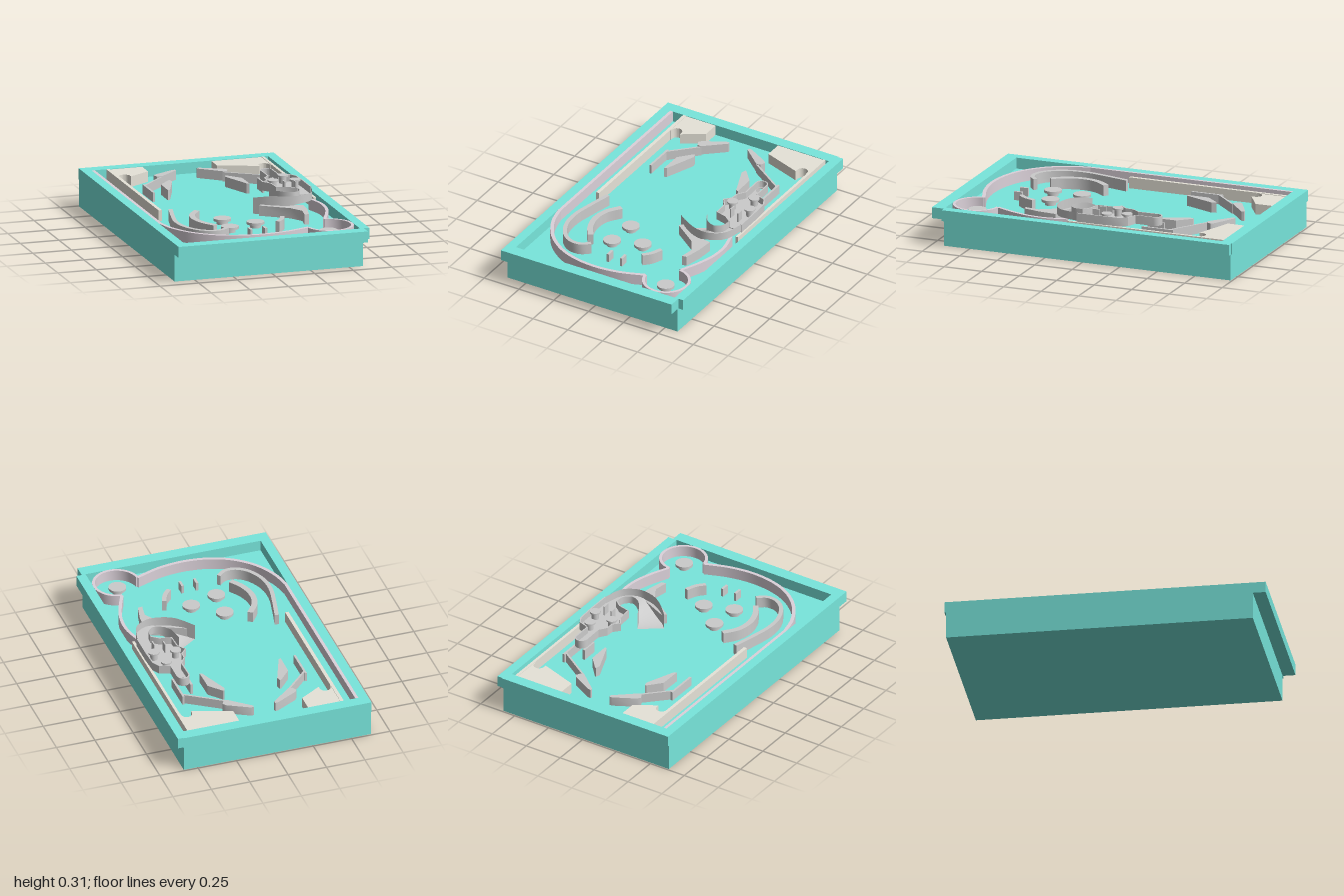
import * as THREE from 'three';
import { toCreasedNormals } from 'three/addons/utils/BufferGeometryUtils.js';

const FLOOR = 0.17, TOP = 0.24;
const mat = (color) => new THREE.MeshStandardMaterial({ color, side: THREE.DoubleSide });

export function createModel() {
  const root = new THREE.Group();
  const teal = mat(0x78e6dc), grey = mat(0xcccccc), lilac = mat(0xdcd2da), cream = mat(0xe6e3d8);

  const add = (name, geometry, material = grey) => {
    const mesh = new THREE.Mesh(geometry, material);
    mesh.name = name;
    root.add(mesh);
    return mesh;
  };
  const box = (name, x0, x1, y0, y1, z0, z1, material) =>
    add(name, new THREE.BoxGeometry(x1 - x0, y1 - y0, z1 - z0), material)
      .position.set((x0 + x1) / 2, (y0 + y1) / 2, (z0 + z1) / 2);
  const disc = (name, x, z, r, y0, y1, material) =>
    add(name, new THREE.CylinderGeometry(r, r, y1 - y0, 28), material).position.set(x, (y0 + y1) / 2, z);

  // Plan outline [x, z] raised from y0 to y1
  const slab = (name, pts, y0, y1, material = grey, hole) => {
    const shape = new THREE.Shape(pts.map(([x, z]) => new THREE.Vector2(x, -z)));
    if (hole) shape.holes.push(new THREE.Path().absarc(hole[0], -hole[1], hole[2], 0, Math.PI * 2, true));
    const g = new THREE.ExtrudeGeometry(shape, { depth: y1 - y0, bevelEnabled: false, curveSegments: 16 });
    g.rotateX(-Math.PI / 2).translate(0, y0, 0);
    return add(name, toCreasedNormals(g, 0.5), material);
  };

  // Upright wall of even width along a plan path
  const wall = (name, pts, w, y0 = FLOOR, y1 = TOP, material = grey) => {
    const a = [], b = [];
    pts.forEach(([x, z], i) => {
      const p = pts[Math.max(i - 1, 0)], n = pts[Math.min(i + 1, pts.length - 1)];
      const dx = n[0] - p[0], dz = n[1] - p[1], l = Math.hypot(dx, dz) || 1;
      a.push([x - dz / l * w / 2, z + dx / l * w / 2]);
      b.unshift([x + dz / l * w / 2, z - dx / l * w / 2]);
    });
    return slab(name, [...a, ...b], y0, y1, material);
  };
  const smooth = (pts, n = 28) =>
    new THREE.CatmullRomCurve3(pts.map(([x, z]) => new THREE.Vector3(x, 0, z)), false, 'centripetal')
      .getSpacedPoints(n).map((p) => [p.x, p.z]);
  const arc = (cx, cz, r, a0, a1, n = 16) => Array.from({ length: n + 1 }, (_, i) => {
    const a = THREE.MathUtils.degToRad(a0 + (a1 - a0) * i / n);
    return [cx + r * Math.cos(a), cz + r * Math.sin(a)];
  });

  // Cabinet and its overhanging rim
  box('cabinet', -0.63, 0.59, 0, FLOOR, -0.99, 0.92, teal);
  box('backRail', -0.63, 0.595, FLOOR, TOP, -1, -0.925, teal);
  box('frontRail', -0.63, 0.595, FLOOR, TOP, 0.92, 1, teal);
  box('leftSideRail', 0.57, 0.63, FLOOR, TOP, -0.995, 0.92, teal);
  box('rightSideRail', -0.63, -0.57, FLOOR, TOP, -0.925, 0.92, teal);

  // Long lanes and outer curved guide
  wall('launchLane', [[-0.56, -0.925], [-0.56, 0.42]], 0.02, FLOOR, TOP, lilac);
  wall('outerGuide', smooth([[-0.56, 0.42], [-0.53, 0.54], [-0.45, 0.68], [-0.33, 0.785], [-0.2, 0.84],
    [-0.04, 0.86], [0.12, 0.84], [0.28, 0.785]], 40), 0.022, FLOOR, TOP, lilac);
  wall('cornerPocket', arc(0.42, 0.77, 0.142, 174, -85, 32), 0.018, FLOOR, TOP, lilac);
  wall('sideGuide', smooth([[0.435, 0.625], [0.49, 0.5], [0.525, 0.38], [0.53, 0.26], [0.5, 0.13]]), 0.02, FLOOR, TOP, lilac);
  box('innerLane', -0.475, -0.453, FLOOR, TOP, -0.925, 0.12, cream);
  box('outerLane', 0.527, 0.545, FLOOR, TOP, -0.925, 0.12, cream);

  // Inner curved guides
  wall('orbitGuide', smooth([[-0.395, 0.11], [-0.43, 0.26], [-0.455, 0.4], [-0.445, 0.52], [-0.39, 0.63],
    [-0.32, 0.68], [-0.25, 0.68], [-0.2, 0.64]]), 0.026);
  wall('bumperGuide', smooth([[-0.25, 0.19], [-0.31, 0.28], [-0.325, 0.38], [-0.3, 0.48], [-0.25, 0.56]]), 0.036);
  wall('shortGuide', smooth([[0.21, 0.48], [0.18, 0.55], [0.14, 0.595]], 10), 0.028);
  for (const x of [-0.055, 0.04]) box('lanePost', x - 0.008, x + 0.008, FLOOR, 0.225, 0.625, 0.68, grey);

  // Round bumpers with caps
  for (const [x, z] of [[-0.12, 0.295], [-0.135, 0.495], [0.05, 0.435], [0.415, 0.77]]) {
    disc('bumperStem', x, z, 0.035, FLOOR, 0.195, grey);
    disc('bumperCap', x, z, 0.055, 0.192, 0.208, grey);
  }

  // Flippers, slingshots, return guides and aprons on both sides
  for (const s of [-1, 1]) {
    const m = (pts) => pts.map(([x, z]) => [s * x, z]);
    slab('flipper', m([[0.2, -0.675], [0.225, -0.68], [0.24, -0.71], [0.225, -0.73], [0.09, -0.803],
      [0.07, -0.805], [0.068, -0.788]]), FLOOR + 0.005, 0.235);
    slab('slingshot', m([[0.18, -0.575], [0.19, -0.572], [0.262, -0.49], [0.264, -0.345], [0.248, -0.352],
      [0.172, -0.545]]), FLOOR, 0.235);
    const outer = s < 0 ? 0.358 : 0.438;
    wall('returnGuide', m([[outer, -0.52], [0.2, -0.68]]), 0.012, FLOOR, 0.23);
    wall('returnPost', m([[outer, -0.335], [outer, -0.545]]), 0.014, FLOOR, 0.23);
    const c = s < 0 ? 0.415 : 0.487, inner = s < 0 ? 0.243 : 0.205;
    slab('apron', m([[inner, -0.925], [inner, -0.81], [c - 0.035, -0.725], ...arc(c, -0.745, 0.035, 180, 360),
      [c + 0.036, -0.73], [c + 0.055, -0.73], [c + 0.055, -0.925]]), FLOOR, 0.237, cream);
  }
  box('kickerPost', 0.345, 0.36, FLOOR, TOP, -0.45, -0.34, grey);

  // Wedges beneath the ramp
  slab('rampWedge', [[0.155, 0.18], [0.175, 0.155], [0.36, 0.24], [0.42, 0.25], [0.41, 0.36], [0.385, 0.47],
    [0.355, 0.475], [0.37, 0.385], [0.32, 0.3]], FLOOR, 0.235);

  // Raised ramp deck with a drop hole, edged by a low wall
  const edge = [[0.445, 0.06], [0.4, 0.025], [0.325, 0.005], [0.322, -0.09], [0.285, -0.14], [0.322, -0.18],
    [0.325, -0.23], [0.36, -0.28], [0.358, -0.405], ...arc(0.395, -0.41, 0.037, 180, 360, 12),
    [0.432, -0.29], [0.5, -0.265], [0.525, -0.22], [0.53, -0.1], [0.53, 0.06]];
  slab('rampDeck', edge, 0.24, 0.25, grey, [0.395, -0.405, 0.032]);
  wall('rampDeckWall', edge, 0.008, 0.24, 0.295);
  for (const [x, z] of [[0.445, -0.24], [0.35, -0.14], [0.485, -0.12]]) {
    disc('rampBumperStem', x, z, 0.022, 0.25, 0.295, grey);
    disc('rampBumperCap', x, z, 0.034, 0.293, 0.303, grey);
  }
  for (const [x, z] of [[0.395, -0.06], [0.46, -0.04]]) box('rampTarget', x - 0.004, x + 0.004, 0.25, 0.312, z - 0.022, z + 0.022, grey);

  // Curved ramp: rises from a flared mouth round to the deck
  const N = 28;
  const inside = smooth([[0.27, 0.025], [0.3, 0.09], [0.345, 0.138], [0.395, 0.152], [0.435, 0.12], [0.445, 0.06]], N);
  const outside = smooth([[0.135, 0.12], [0.21, 0.185], [0.3, 0.235], [0.4, 0.245], [0.49, 0.19], [0.53, 0.06]], N);
  const floorY = (t) => FLOOR + 0.075 * THREE.MathUtils.smoothstep(t, 0, 0.6);
  const wallY = (t) => Math.min(0.295, 0.272 + 0.1 * t);
  const ribbon = (name, a, ya, b, yb) => {
    const pos = [], idx = [];
    for (let i = 0; i <= N; i++) {
      const t = i / N;
      pos.push(a[i][0], ya(t), a[i][1], b[i][0], yb(t), b[i][1]);
      if (i < N) idx.push(2 * i, 2 * i + 1, 2 * i + 2, 2 * i + 1, 2 * i + 3, 2 * i + 2);
    }
    const g = new THREE.BufferGeometry();
    g.setAttribute('position', new THREE.Float32BufferAttribute(pos, 3));
    g.setIndex(idx);
    g.computeVertexNormals();
    add(name, g);
  };
  ribbon('rampFloor', outside, floorY, inside, floorY);
  ribbon('rampOuterWall', outside, wallY, outside, floorY);
  ribbon('rampInnerWall', inside, floorY, inside, wallY);

  return root;
}
